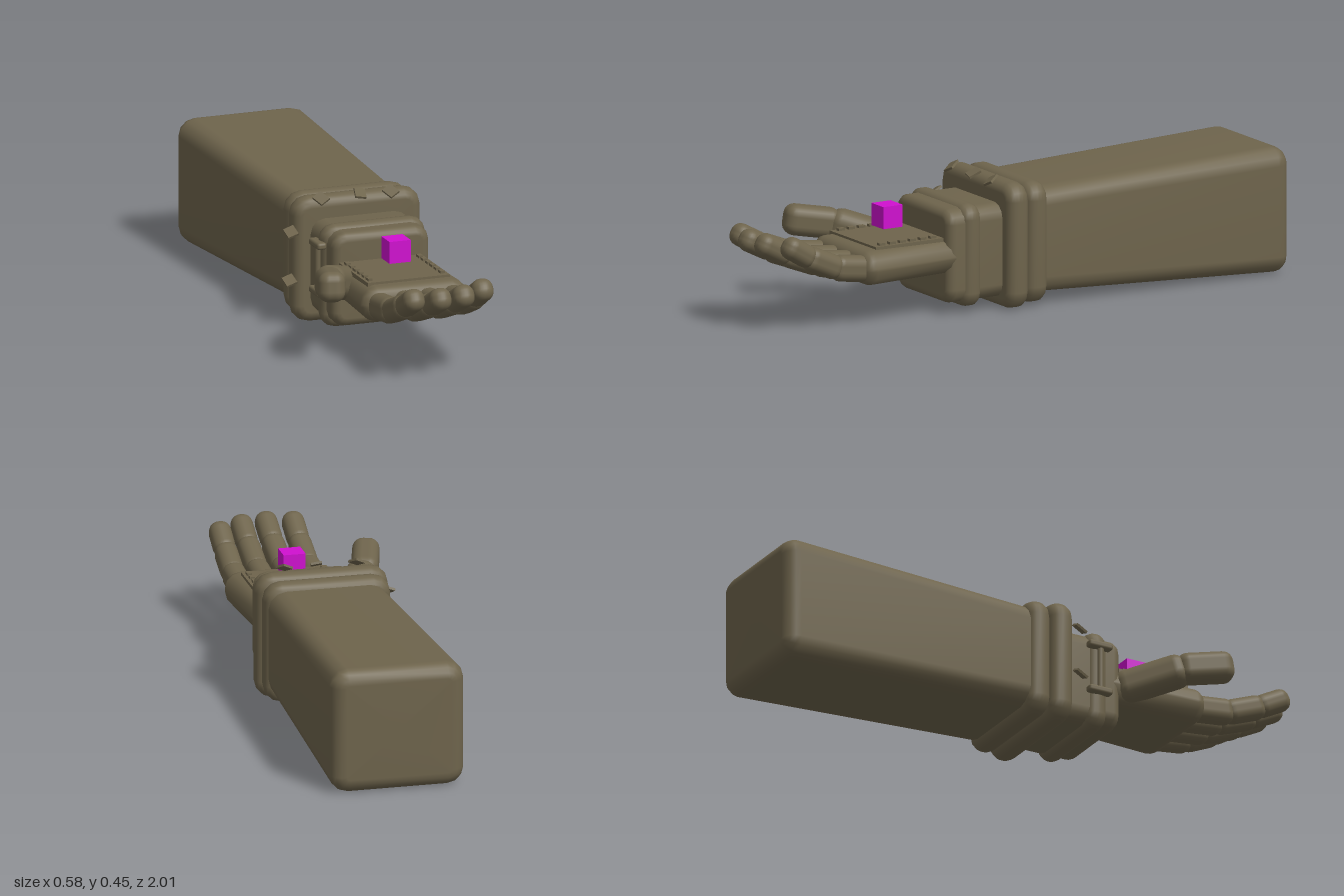
import * as THREE from 'three';
import { RoundedBoxGeometry } from 'three/addons/geometries/RoundedBoxGeometry.js';

const olive = new THREE.MeshStandardMaterial({ color: 0x6e644c });
olive.name = 'olive fabric';
const magenta = new THREE.MeshStandardMaterial({ color: 0xd010d0 });
magenta.name = 'magenta marker';

// Soft-ended block along z; each end is a rounded rectangle [x0, x1, y0, y1]
function softBlock(back, front, z0, z1, corner, bevel) {
  const steps = 4, perCorner = 4, n = perCorner * 4;
  const sections = [];
  for (let i = 0; i <= steps; i++) {
    const a = (i / steps) * Math.PI / 2;
    sections.push([back, bevel * (1 - Math.sin(a)), z0 + bevel * (1 - Math.cos(a))]);
  }
  for (let i = steps; i >= 0; i--) {
    const a = (i / steps) * Math.PI / 2;
    sections.push([front, bevel * (1 - Math.sin(a)), z1 - bevel * (1 - Math.cos(a))]);
  }
  const pos = [], index = [];
  for (const [[x0, x1, y0, y1], inset, z] of sections) {
    const r = Math.max(corner - inset, 0.012);
    const cx = (x0 + x1) / 2, cy = (y0 + y1) / 2;
    const w = (x1 - x0) / 2 - inset - r, h = (y1 - y0) / 2 - inset - r;
    for (let q = 0; q < 4; q++) {
      const sx = q === 0 || q === 3 ? 1 : -1, sy = q < 2 ? 1 : -1;
      for (let k = 0; k < perCorner; k++) {
        const a = (q + k / (perCorner - 1)) * Math.PI / 2;
        pos.push(cx + sx * w + r * Math.cos(a), cy + sy * h + r * Math.sin(a), z);
      }
    }
  }
  const last = sections.length - 1;
  for (let i = 0; i < last; i++) {
    for (let j = 0; j < n; j++) {
      const k = (j + 1) % n, a = i * n + j, b = i * n + k;
      index.push(a, b, a + n, b, b + n, a + n);
    }
  }
  // end caps
  const c = pos.length / 3;
  pos.push((back[0] + back[1]) / 2, (back[2] + back[3]) / 2, z0);
  pos.push((front[0] + front[1]) / 2, (front[2] + front[3]) / 2, z1);
  for (let j = 0; j < n; j++) {
    const k = (j + 1) % n;
    index.push(c, k, j, c + 1, last * n + j, last * n + k);
  }
  const g = new THREE.BufferGeometry();
  g.setAttribute('position', new THREE.Float32BufferAttribute(pos, 3));
  g.setIndex(index);
  g.computeVertexNormals();
  return g;
}

export function createModel() {
  const model = new THREE.Group();
  model.name = 'glovedForearm';

  const add = (name, geometry, parent = model, material = olive) => {
    const mesh = new THREE.Mesh(geometry, material);
    mesh.name = name;
    parent.add(mesh);
    return mesh;
  };
  const box = (name, size, at, parent, material) => {
    const m = add(name, new THREE.BoxGeometry(...size), parent, material);
    m.position.set(...at);
    return m;
  };
  // Rounded limb segment between two points
  const segment = (name, a, b, w, h, r, parent) => {
    const p = new THREE.Vector3(...a), q = new THREE.Vector3(...b);
    const m = add(name, new RoundedBoxGeometry(w, h, p.distanceTo(q) + r, 3, r), parent);
    m.position.copy(p).add(q).multiplyScalar(0.5);
    m.lookAt(q);
    return m;
  };

  // Sleeve and cuff rings
  add('sleeve', softBlock([-0.17, 0.292, 0.005, 0.437], [-0.14, 0.272, 0.045, 0.41], -1, 0, 0.06, 0.05));
  const rings = [
    ['sleeveRing', [-0.155, 0.282, 0.015, 0.432], -0.055, 0.028, 0.06, 0.035],
    ['cuffRing', [-0.167, 0.292, 0.006, 0.438], 0.025, 0.108, 0.06, 0.035],
    ['wrist', [-0.11, 0.24, 0.042, 0.366], 0.08, 0.318, 0.05, 0.03],
    ['wristRing', [-0.123, 0.25, 0.025, 0.378], 0.188, 0.262, 0.05, 0.032],
  ];
  for (const [name, rect, z0, z1, corner, bevel] of rings) {
    add(name, softBlock(rect, rect, z0, z1, corner, bevel));
  }

  // Small tabs around the cuff
  const tabs = [
    [-0.075, 0.438, 0.115, 0.45, 0.35], [0.065, 0.442, 0.115, -0.2, -0.1], [0.175, 0.438, 0.115, 0.45, 0.35],
    [-0.183, 0.332, 0.115, 0.1, 0.42], [-0.188, 0.164, 0.115, 0.1, 0.42],
  ];
  for (const [x, y, z, ry, rz] of tabs) {
    const tab = box('cuffTab', [0.038, 0.008, 0.045], [x, y, z]);
    tab.rotation.set(0.45, ry, rz * 0.8);
  }

  // Latch on the thumb side of the wrist
  const latch = new THREE.Group();
  latch.name = 'latch';
  model.add(latch);
  const rod = add('latchRod', new THREE.CylinderGeometry(0.011, 0.011, 0.18, 10), latch);
  rod.position.set(-0.13, 0.235, 0.225);
  for (const y of [0.315, 0.15]) {
    const cap = add('latchCap', new RoundedBoxGeometry(0.034, 0.024, 0.09, 2, 0.009), latch);
    cap.position.set(-0.129, y, 0.222);
  }

  // Palm with a padded plate and stitches along both sides
  add('palm', softBlock([-0.11, 0.24, 0.145, 0.262], [-0.125, 0.255, 0.142, 0.262], 0.25, 0.645, 0.055, 0.04));
  box('palmPlate', [0.295, 0.02, 0.265], [0.058, 0.26, 0.452]);
  for (const x of [-0.072, 0.187]) {
    for (let i = 0; i < 6; i++) {
      box('stitch', [0.016, 0.009, 0.024], [x, 0.274, 0.352 + i * 0.04]);
    }
  }

  // Four fingers curling upward: [x, length scale]
  const fingers = [[-0.067, 0.96], [0.021, 1.02], [0.108, 0.99], [0.195, 0.85]];
  const curl = [[0, 0.2], [0.135, 0.215], [0.26, 0.262], [0.358, 0.312]];
  fingers.forEach(([x, s], f) => {
    const finger = new THREE.Group();
    finger.name = 'finger' + (f + 1);
    model.add(finger);
    for (let i = 0; i < 3; i++) {
      const a = [x, curl[i][1], 0.62 + curl[i][0] * s];
      const b = [x, curl[i + 1][1], 0.62 + curl[i + 1][0] * s];
      segment('fingerSegment', a, b, 0.077 - i * 0.001, 0.09 - i * 0.006, 0.034, finger);
    }
  });

  // Thumb
  const thumb = new THREE.Group();
  thumb.name = 'thumb';
  model.add(thumb);
  segment('thumbBase', [-0.075, 0.205, 0.34], [-0.197, 0.262, 0.5], 0.105, 0.115, 0.045, thumb);
  segment('thumbTip', [-0.2, 0.263, 0.5], [-0.243, 0.288, 0.65], 0.092, 0.105, 0.036, thumb);

  // Marker cube hovering over the palm
  box('markerCube', [0.076, 0.076, 0.076], [0.063, 0.338, 0.453], model, magenta);

  return model;
}
